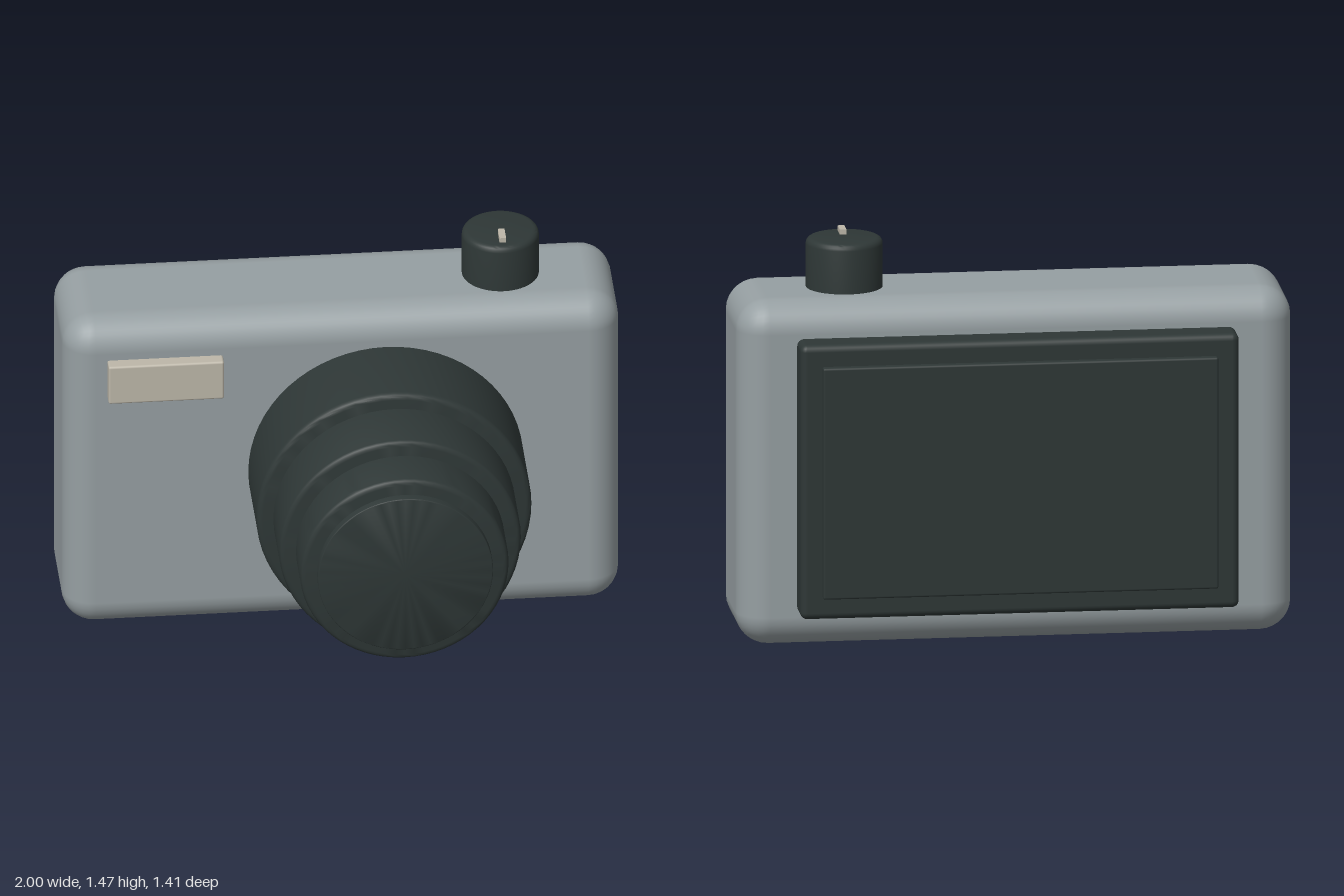
import * as THREE from 'three';
import { RoundedBoxGeometry } from 'three/addons/geometries/RoundedBoxGeometry.js';
import { toCreasedNormals } from 'three/addons/utils/BufferGeometryUtils.js';

const material = (name, color) => {
  const m = new THREE.MeshStandardMaterial({ color });
  m.name = name;
  return m;
};

// Solid disc along +y from 0 to height, with a rounded upper rim
function roundedDisc(radius, height, bevel) {
  const profile = [new THREE.Vector2(0, 0), new THREE.Vector2(radius, 0)];
  const steps = 4;
  for (let i = 0; i <= steps; i++) {
    const a = (i / steps) * Math.PI / 2;
    profile.push(new THREE.Vector2(
      radius - bevel + bevel * Math.cos(a),
      height - bevel + bevel * Math.sin(a)
    ));
  }
  profile.push(new THREE.Vector2(0, height));
  return toCreasedNormals(new THREE.LatheGeometry(profile, 64), 0.6);
}

export function createModel() {
  const group = new THREE.Group();
  group.name = 'camera';
  const silver = material('silver grey', 0x969fa2);
  const dark = material('dark charcoal', 0x2e3736);
  const cream = material('warm cream', 0xbdb7a9);

  const add = (name, geometry, mat, x, y, z) => {
    const mesh = new THREE.Mesh(geometry, mat);
    mesh.name = name;
    mesh.position.set(x, y, z);
    group.add(mesh);
    return mesh;
  };
  // Rounded box given by its extents
  const box = (name, mat, [x0, x1], [y0, y1], [z0, z1], radius, segments = 3) => add(
    name, new RoundedBoxGeometry(x1 - x0, y1 - y0, z1 - z0, segments, radius), mat,
    (x0 + x1) / 2, (y0 + y1) / 2, (z0 + z1) / 2
  );

  // Body and flash window
  box('body', silver, [-1, 1], [0, 1.27], [-0.565, -0.055], 0.115, 4);
  box('flash', cream, [-0.845, -0.43], [0.975, 1.13], [-0.1, -0.007], 0.008, 2);

  // Rear screen: frame and raised panel
  box('screenFrame', dark, [-0.79, 0.79], [0.13, 1.14], [-0.675, -0.5], 0.025);
  box('screenPanel', dark, [-0.712, 0.712], [0.21, 1.062], [-0.703, -0.62], 0.008, 2);

  // Telescoping lens: radius, back z, front z, rim rounding
  [
    [0.494, -0.1, 0.277, 0.022],
    [0.435, 0.25, 0.503, 0.022],
    [0.375, 0.47, 0.672, 0.022],
    [0.315, 0.64, 0.703, 0.005],
  ].forEach(([radius, z0, z1, bevel], i) => {
    const stage = add(i < 3 ? `lensBarrel${i + 1}` : 'lensFront',
      roundedDisc(radius, z1 - z0, bevel), dark, 0.155, 0.637, z0);
    stage.rotation.x = Math.PI / 2;
  });

  // Top dial with its pointer mark
  add('dial', roundedDisc(0.138, 0.25, 0.022), dark, 0.59, 1.2, -0.308);
  add('dialMark', new THREE.BoxGeometry(0.024, 0.03, 0.066), cream, 0.59, 1.453, -0.243);

  return group;
}
